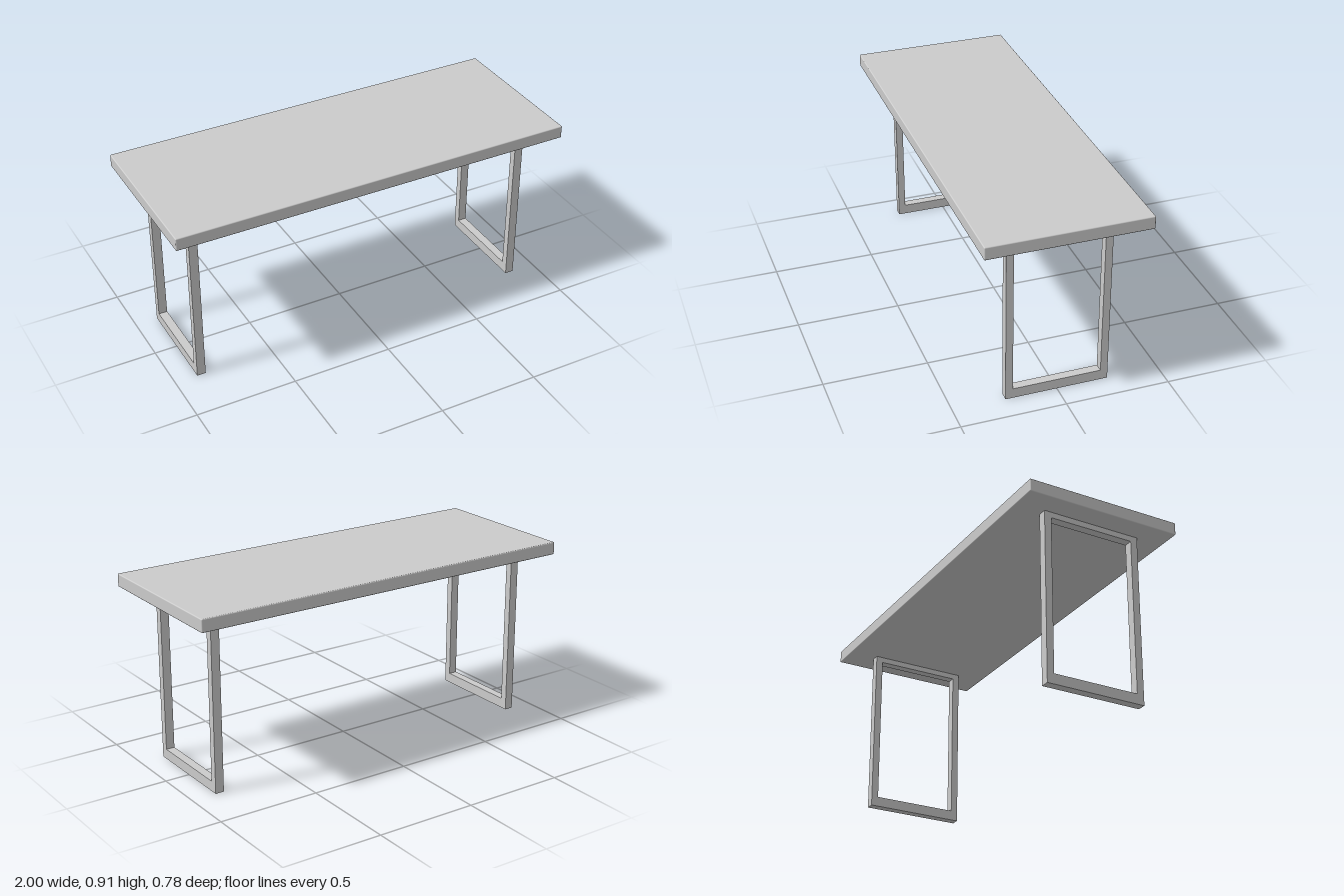
import * as THREE from 'three';
import { RoundedBoxGeometry } from 'three/addons/geometries/RoundedBoxGeometry.js';

const TOP = 0.906, UNDERSIDE = 0.843, LEG_WIDTH = 0.043;

// Rectangle outline in (z, y), wound counter-clockwise
function rectangle(PathType, z0, y0, z1, y1) {
  return new PathType([
    new THREE.Vector2(z0, y0), new THREE.Vector2(z1, y0),
    new THREE.Vector2(z1, y1), new THREE.Vector2(z0, y1),
  ]);
}

export function createModel() {
  const model = new THREE.Group();
  model.name = 'table';
  const material = new THREE.MeshStandardMaterial({ color: 0xcccccc });

  // Slab with softly eased edges
  const slab = new THREE.Mesh(
    new RoundedBoxGeometry(2, TOP - UNDERSIDE, 0.776, 3, 0.005), material);
  slab.name = 'tableTop';
  slab.position.y = (TOP + UNDERSIDE) / 2;
  model.add(slab);

  // Closed rectangular leg frame, extruded along x
  const outline = rectangle(THREE.Shape, -0.248, 0, 0.248, UNDERSIDE);
  outline.holes.push(rectangle(THREE.Path, -0.213, 0.05, 0.213, 0.815));
  const frame = new THREE.ExtrudeGeometry(outline, { depth: LEG_WIDTH, bevelEnabled: false });
  frame.translate(0, 0, -LEG_WIDTH / 2);
  frame.rotateY(Math.PI / 2);

  for (const [name, x] of [['leftLegFrame', 0.857], ['rightLegFrame', -0.867]]) {
    const leg = new THREE.Mesh(frame, material);
    leg.name = name;
    leg.position.x = x;
    model.add(leg);
  }
  return model;
}
